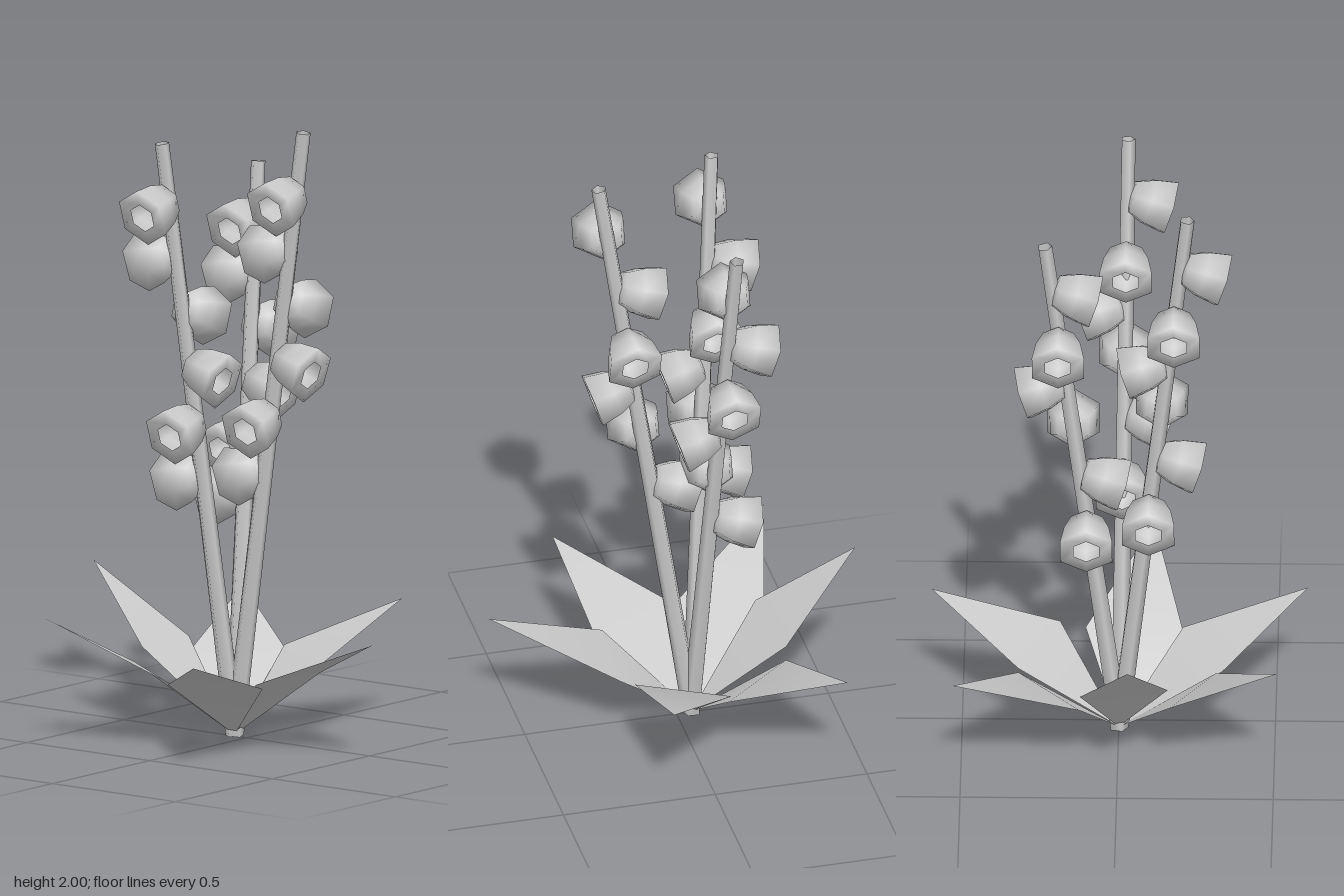
import * as THREE from 'three';

const ROOT = new THREE.Vector3(-0.05, 0, 0);
const UP = new THREE.Vector3(0, 1, 0);

export function createModel() {
  const model = new THREE.Group();
  const grey = new THREE.MeshStandardMaterial({ color: 0xcccccc, side: THREE.DoubleSide });
  grey.name = 'lightGrey';

  const add = (parent, name, geometry) => {
    const mesh = new THREE.Mesh(geometry, grey);
    mesh.name = name;
    parent.add(mesh);
    return mesh;
  };

  // Six-sided bell: closed crown on the stem, flared rim, lip turned in around a hole
  const tilt = THREE.MathUtils.degToRad(18);
  const bell = new THREE.LatheGeometry(
    [[0, -0.008], [0.058, 0.005], [0.082, 0.06], [0.096, 0.13], [0.047, 0.13]]
      .map(([r, y]) => new THREE.Vector2(r, y)), 6);
  bell.rotateX(Math.PI / 2 + tilt);

  // Flower stalks: tip, height of the highest bell, spacing of the bells
  const stalks = [
    { tip: [-0.172, 1.94, 0.22], top: 1.755, step: 0.18 },
    { tip: [0.25, 1.995, 0.025], top: 1.8, step: 0.184 },
    { tip: [-0.14, 1.82, -0.235], top: 1.655, step: 0.174 },
  ];
  for (const { tip, top, step } of stalks) {
    const stalk = new THREE.Group();
    stalk.name = 'flowerStalk';
    model.add(stalk);

    // Hollow stem
    const end = new THREE.Vector3(...tip);
    const axis = end.clone().sub(ROOT);
    const stem = add(stalk, 'stem',
      new THREE.CylinderGeometry(0.024, 0.031, axis.length(), 5, 1, true));
    stem.position.copy(ROOT).addScaledVector(axis, 0.5);
    stem.quaternion.setFromUnitVectors(UP, axis.clone().normalize());

    // Bells step down the stem by quarter turns: front, left, back, right
    for (let i = 0; i < 6; i++) {
      const flower = add(stalk, 'bell', bell);
      const y = top - i * step;
      const yaw = -i * Math.PI / 2;
      flower.position.copy(ROOT).addScaledVector(axis, y / axis.y);
      flower.position.x += Math.sin(yaw) * 0.012;
      flower.position.z += Math.cos(yaw) * 0.012;
      flower.rotation.y = yaw;
    }
  }

  // Kite-shaped leaves, bent across the widest line: tip and two side corners
  const leaves = [
    { tip: [0.592, 0.38, 0.105], a: [0.195, 0.22, 0.2], b: [0.21, 0.215, -0.11] },
    { tip: [0.16, 0.38, -0.6], a: [0.187, 0.25, -0.19], b: [-0.1, 0.24, -0.32] },
    { tip: [-0.43, 0.365, -0.525], a: [-0.09, 0.22, -0.32], b: [-0.33, 0.22, -0.12] },
    { tip: [-0.597, 0.51, 0.035], a: [-0.33, 0.27, -0.12], b: [-0.3, 0.28, 0.16] },
    { tip: [-0.417, 0.41, 0.51], a: [-0.33, 0.23, 0.165], b: [-0.07, 0.21, 0.31] },
    { tip: [0.257, 0.34, 0.6], a: [-0.06, 0.21, 0.33], b: [0.222, 0.21, 0.2] },
  ];
  for (const { tip, a, b } of leaves) {
    const geometry = new THREE.BufferGeometry();
    geometry.setAttribute('position',
      new THREE.Float32BufferAttribute([...ROOT.toArray(), ...a, ...b, ...tip], 3));
    geometry.setIndex([0, 1, 2, 1, 3, 2]);
    geometry.computeVertexNormals();
    add(model, 'leaf', geometry);
  }

  return model;
}
